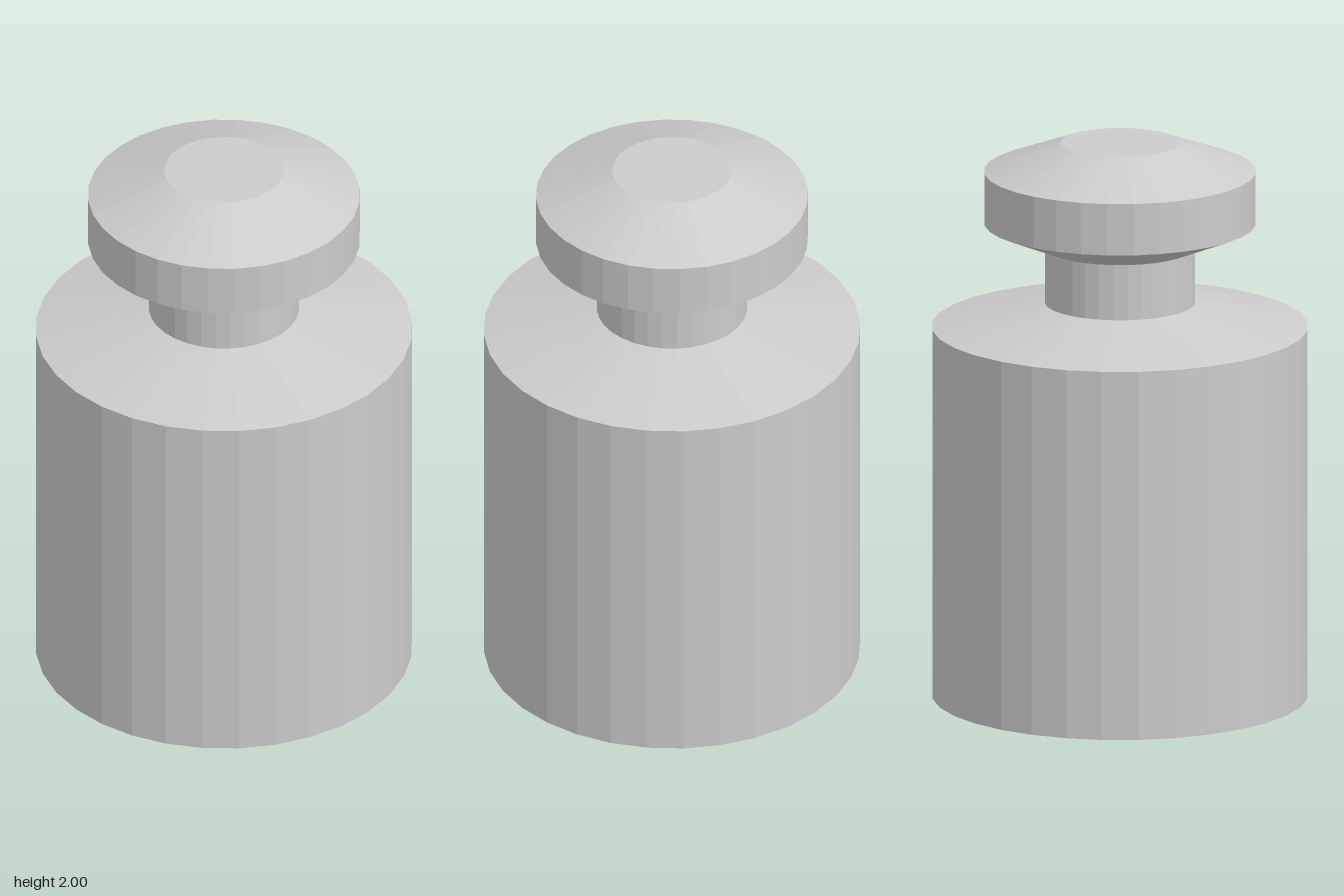
import * as THREE from 'three';

const SIDES = 32;

export function createModel() {
  const group = new THREE.Group();
  group.name = 'calibrationWeight';
  const material = new THREE.MeshStandardMaterial({ color: 0xcccccc, flatShading: true });

  // Revolve a profile of [radius, height] points, listed from bottom to top
  const turned = (name, profile) => {
    const points = profile.map(([r, y]) => new THREE.Vector2(r, y));
    const mesh = new THREE.Mesh(new THREE.LatheGeometry(points, SIDES), material);
    mesh.name = name;
    group.add(mesh);
  };

  // Heavy cylinder with a flat base and sloping shoulder
  turned('body', [[0, 0], [0.663, 0], [0.663, 1.335], [0.265, 1.422]]);

  // Narrow neck between shoulder and knob
  turned('neck', [[0.265, 1.422], [0.265, 1.622]]);

  // Grip knob, bevelled below and above, with a flat top
  turned('knob', [[0.265, 1.622], [0.479, 1.711], [0.479, 1.897], [0.21, 2], [0, 2]]);

  return group;
}
